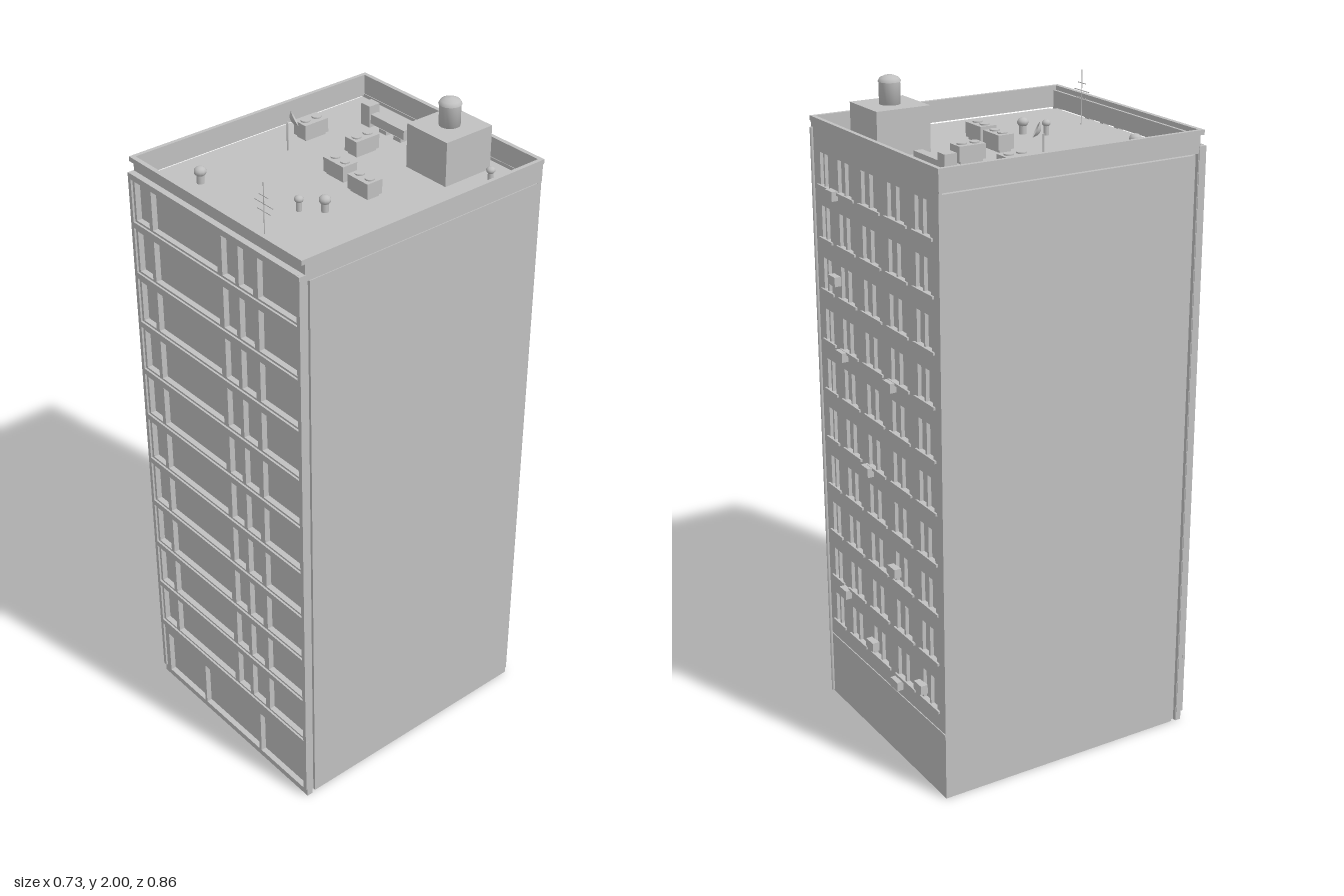
import * as THREE from 'three';

export function createModel() {
  const model = new THREE.Group();
  model.name = 'apartmentBlock';
  const grey = new THREE.MeshStandardMaterial({ color: 0xc0c0c0 });
  grey.name = 'concrete grey';

  const add = (name, geo, parent = model) => {
    const m = new THREE.Mesh(geo, grey);
    m.name = name;
    parent.add(m);
    return m;
  };
  // box given by its low and high limits on each axis
  const box = (name, x0, x1, y0, y1, z0, z1, parent) => {
    const g = new THREE.BoxGeometry(x1 - x0, y1 - y0, z1 - z0);
    g.translate((x0 + x1) / 2, (y0 + y1) / 2, (z0 + z1) / 2);
    return add(name, g, parent);
  };
  const cyl = (name, x, y0, y1, z, r, n = 12, parent) => {
    const g = new THREE.CylinderGeometry(r, r, y1 - y0, n);
    g.translate(x, (y0 + y1) / 2, z);
    return add(name, g, parent);
  };
  const rect = (C, x0, x1, y0, y1) => {
    const p = new C();
    p.moveTo(x0, y0); p.lineTo(x1, y0); p.lineTo(x1, y1); p.lineTo(x0, y1); p.closePath();
    return p;
  };
  // upright wall panel with rectangular openings
  const wall = (name, outer, holes, z0, z1) => {
    const s = rect(THREE.Shape, ...outer);
    holes.forEach(h => s.holes.push(rect(THREE.Path, ...h)));
    const g = new THREE.ExtrudeGeometry(s, { depth: z1 - z0, bevelEnabled: false });
    g.translate(0, 0, z0);
    return add(name, g);
  };
  // horizontal ring around the roof edge
  const ring = (name, ox, oz0, oz1, ix, iz0, iz1, y0, y1) => {
    const s = rect(THREE.Shape, -ox, ox, -oz1, -oz0);
    s.holes.push(rect(THREE.Path, -ix, ix, -iz1, -iz0));
    const g = new THREE.ExtrudeGeometry(s, { depth: y1 - y0, bevelEnabled: false });
    g.rotateX(-Math.PI / 2);
    g.translate(0, y0, 0);
    return add(name, g);
  };

  const FLOOR = 0.16, FLOORS = 10, BASE = 0.21, ROOF = 1.79;

  // Main block and the parapet round its flat roof
  box('body', -0.36, 0.36, 0, ROOF, -0.403, 0.392);
  box('facadeBacking', -0.352, 0.352, 0, ROOF, 0.392, 0.407);
  ring('parapet', 0.364, -0.415, 0.41, 0.355, -0.405, 0.4, 1.795, 1.846);
  ring('coping', 0.366, -0.417, 0.422, 0.354, -0.404, 0.408, 1.846, 1.86);

  // Front facade: recessed glazing, mullions and floor ledges
  const bays = [[-0.345, -0.285], [-0.27, 0.02], [0.04, 0.095], [0.11, 0.17], [0.19, 0.345]];
  const frontHoles = [[-0.335, -0.15], [-0.14, 0.13], [0.14, 0.345]].map(b => [...b, 0.02, 0.175]);
  for (let k = 0; k < FLOORS; k++) {
    const y = BASE + k * FLOOR;
    bays.forEach(b => frontHoles.push([...b, y + 0.024, y + FLOOR - 0.01]));
  }
  wall('frontFacade', [-0.364, 0.364, 0, 1.815], frontHoles, 0.405, 0.424);
  for (let k = 0; k <= FLOORS; k++) {
    const y = BASE + k * FLOOR - (k === FLOORS ? 0.012 : 0);
    const w = k ? 0.355 : 0.367;
    box('floorLedge', -w, w, y, y + 0.018, 0.42, 0.43);
  }
  for (const s of [-1, 1]) {
    const x = s * 0.36;
    box('cornerPier', x - 0.006, x + 0.006, 0.03, 1.815, 0.407, 0.43);
  }

  // Back wall: five columns of recessed windows with sills
  const columns = [[-0.33, -0.22], [-0.19, -0.07], [-0.04, 0.08], [0.11, 0.22], [0.25, 0.33]];
  const backHoles = [];
  for (let k = 0; k < FLOORS; k++) {
    const y = 0.275 + k * 0.155;
    for (const [a, b] of columns) {
      backHoles.push([a + 0.015, b - 0.015, y, y + 0.095]);
      box('windowSill', a, b, y - 0.008, y, -0.42, -0.412);
      const c = (a + b) / 2;
      box('windowMullion', c - 0.004, c + 0.004, y, y + 0.095, -0.414, -0.402);
    }
  }
  wall('backWall', [-0.36, 0.36, 0, 1.8], backHoles, -0.414, -0.403);
  box('backBand', -0.36, 0.36, 0.205, 0.213, -0.417, -0.412);

  // Air conditioners hung on the back wall
  const coolers = [[0.23, 1.66], [0.23, 1.41], [0.2, 1.19], [-0.09, 1.19], [0.06, 0.88],
    [-0.09, 0.62], [0.23, 0.41], [0.06, 0.31], [-0.09, 0.25], [-0.235, 0.31]];
  for (const [x, y] of coolers) box('airConditioner', x - 0.021, x + 0.021, y - 0.014, y + 0.014, -0.434, -0.412);
  cyl('downpipe', 0.35, 0.01, 1.83, -0.421, 0.005, 8);

  // Stair house with a domed water tank
  box('stairHouse', 0.058, 0.215, ROOF, 1.92, -0.365, -0.199);
  const tank = [[0, 1.92], [0.03, 1.92], [0.03, 1.982], [0.033, 1.982], [0.027, 1.992], [0.014, 1.998], [0, 2]];
  const tankGeo = new THREE.LatheGeometry(tank.map(p => new THREE.Vector2(...p)), 16);
  add('waterTank', tankGeo).position.set(0.136, 0, -0.282);

  // Rooftop machinery: a box with two fan rings on each
  const units = [[-0.286, -0.234, -0.165, -0.082], [-0.115, -0.065, -0.208, -0.125],
    [-0.058, 0.025, -0.05, 0], [0.06, 0.142, -0.037, 0.015]];
  for (const [x0, x1, z0, z1] of units) {
    const g = new THREE.Group();
    g.name = 'roofUnit';
    model.add(g);
    box('unitCase', x0, x1, ROOF + 0.008, ROOF + 0.05, z0, z1, g);
    box('unitFoot', x0 + 0.006, x1 - 0.006, ROOF, ROOF + 0.008, z0 + 0.006, z1 - 0.006, g);
    const long = z1 - z0 > x1 - x0;
    for (const s of [-0.02, 0.02]) {
      cyl('unitFan', (x0 + x1) / 2 + (long ? 0 : s), ROOF + 0.05, ROOF + 0.054,
        (z0 + z1) / 2 + (long ? s : 0), 0.014, 12, g);
    }
  }

  // Air duct
  box('ductRiser', -0.225, -0.189, ROOF, 1.855, -0.318, -0.28);
  box('ductRun', -0.189, -0.049, ROOF + 0.012, ROOF + 0.04, -0.312, -0.285);
  for (const x of [-0.135, -0.075]) box('ductSupport', x - 0.015, x + 0.015, ROOF, ROOF + 0.012, -0.314, -0.283);

  // Round-capped vents
  for (const [x, z, r] of [[0.27, -0.313, 0.013], [0.111, 0.135, 0.017], [0.064, 0.185, 0.013], [-0.229, 0.288, 0.018]]) {
    cyl('ventPipe', x, ROOF, ROOF + 0.03, z, r * 0.6, 10);
    const cap = new THREE.SphereGeometry(r, 10, 7);
    cap.scale(1, 0.8, 1);
    add('ventCap', cap).position.set(x, ROOF + 0.035, z);
  }

  // Satellite dish on a pole
  cyl('dishPole', -0.23, ROOF, 1.875, -0.015, 0.003, 6);
  const bowl = [];
  for (let i = 0; i <= 5; i++) bowl.push(new THREE.Vector2(0.0046 * i, 0.0005 * i * i));
  for (const flip of [false, true]) {
    const g = new THREE.LatheGeometry(bowl, 14);
    if (flip) { // thin second skin so both faces show
      const a = g.index.array;
      for (let i = 0; i < a.length; i += 3) [a[i], a[i + 1]] = [a[i + 1], a[i]];
      g.computeVertexNormals();
    }
    const dish = add('dish', g);
    dish.position.set(-0.225, 1.88, -0.022);
    dish.rotation.set(-1.05, 0, -0.5);
  }

  // Aerial with cross rods
  cyl('aerialMast', 0.123, ROOF, 1.952, 0.346, 0.0015, 6);
  [[1.912, 0.02], [1.89, 0.038], [1.868, 0.028]].forEach(([y, w]) =>
    box('aerialRod', 0.123 - w, 0.123 + w, y, y + 0.002, 0.345, 0.347));

  return model;
}
